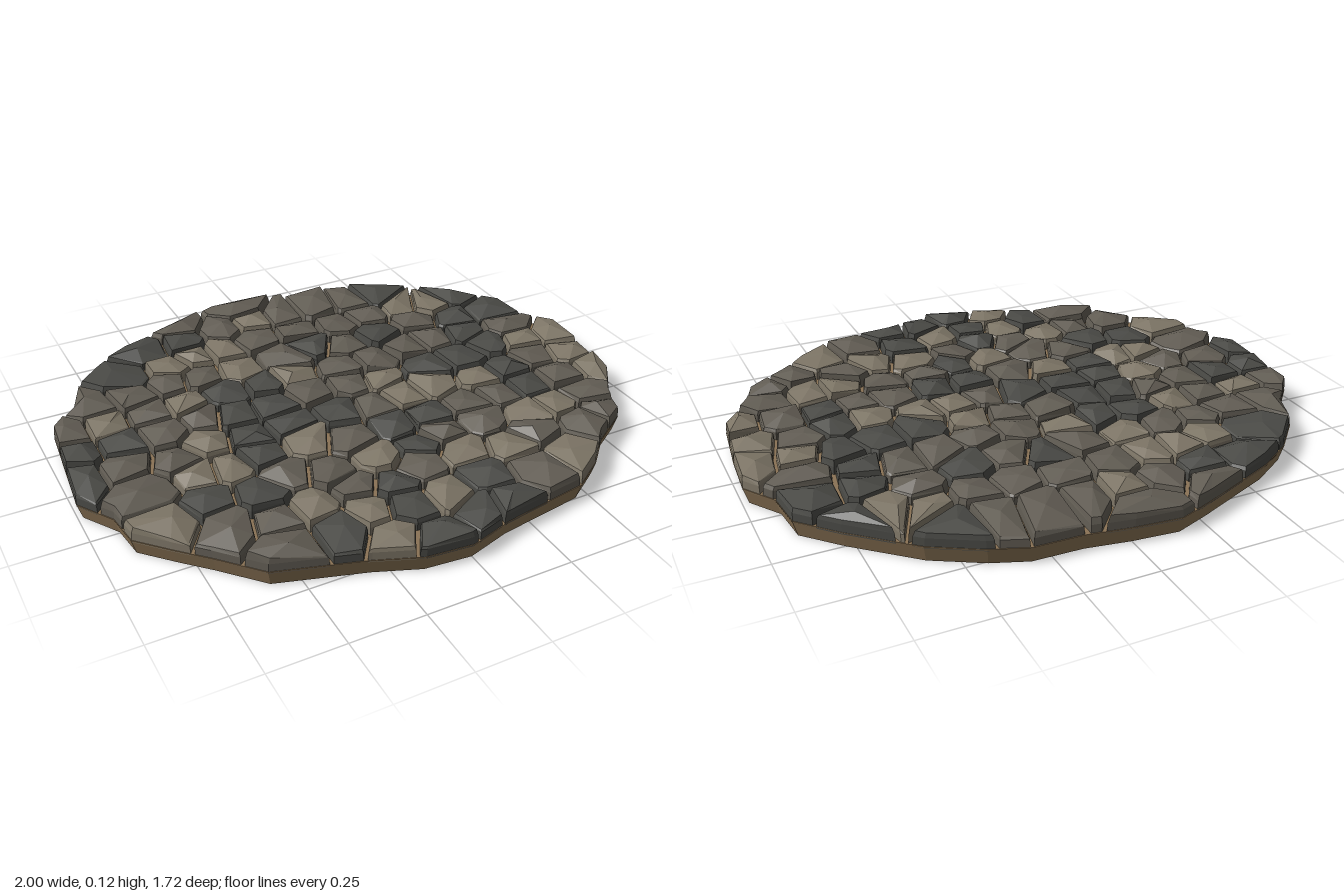
import * as THREE from 'three';

// Irregular rim of the patch as x, z pairs
const RIM = [
  -0.16, -0.86, 0, -0.845, 0.15, -0.82, 0.32, -0.815, 0.44, -0.77, 0.6, -0.68, 0.79, -0.51,
  0.905, -0.39, 0.92, -0.25, 0.995, -0.14, 0.985, 0.03, 0.96, 0.25, 0.86, 0.39, 0.82, 0.49,
  0.68, 0.58, 0.58, 0.68, 0.46, 0.76, 0.3, 0.785, 0.15, 0.81, 0, 0.855, -0.16, 0.84,
  -0.31, 0.78, -0.6, 0.69, -0.72, 0.56, -0.81, 0.47, -0.905, 0.37, -0.92, 0.25, -1, 0.125,
  -0.96, -0.27, -0.86, -0.38, -0.81, -0.505, -0.7, -0.62, -0.57, -0.7, -0.285, -0.815,
];
const rim = [];
for (let i = 0; i < RIM.length; i += 2) rim.push([RIM[i], RIM[i + 1]]);

let seed = 7;
const rand = () => (seed = (seed * 16807) % 2147483647) / 2147483647;
const jitter = (amount) => (rand() - 0.5) * 2 * amount;

const inside = ([x, z]) => {
  let hit = false;
  rim.forEach(([ax, az], i) => {
    const [bx, bz] = rim[(i + 1) % rim.length];
    if (az > z !== bz > z && x < ax + ((z - az) / (bz - az)) * (bx - ax)) hit = !hit;
  });
  return hit;
};

// Keep the part of a polygon lying nearer to site a than to site b
function clip(poly, a, b, gap) {
  const nx = b[0] - a[0], nz = b[1] - a[1], len = Math.hypot(nx, nz);
  const dist = (p) => ((p[0] - (a[0] + b[0]) / 2) * nx + (p[1] - (a[1] + b[1]) / 2) * nz) / len + gap;
  const out = [];
  poly.forEach((p, i) => {
    const q = poly[(i + 1) % poly.length], dp = dist(p), dq = dist(q);
    if (dp <= 0) out.push(p);
    if (dp < 0 !== dq < 0) {
      const t = dp / (dp - dq);
      out.push([p[0] + (q[0] - p[0]) * t, p[1] + (q[1] - p[1]) * t]);
    }
  });
  return out;
}

function centroid(poly) {
  let area = 0, x = 0, z = 0;
  poly.forEach((p, i) => {
    const q = poly[(i + 1) % poly.length], c = p[0] * q[1] - q[0] * p[1];
    area += c / 2;
    x += (p[0] + q[0]) * c;
    z += (p[1] + q[1]) * c;
  });
  return { area, c: [x / (6 * area), z / (6 * area)] };
}

// Faceted solid from stacked rings, closed by fans to a low and a high point
function loft(rings, low, high) {
  const pos = [], tri = (...pts) => pts.forEach((p) => pos.push(...p));
  const n = rings[0].length, top = rings[rings.length - 1];
  for (let i = 0; i < n; i++) {
    const j = (i + 1) % n;
    tri(low, rings[0][i], rings[0][j]);
    for (let k = 0; k + 1 < rings.length; k++) {
      const l = rings[k], u = rings[k + 1];
      tri(l[i], u[i], u[j]);
      tri(l[i], u[j], l[j]);
    }
    tri(high, top[j], top[i]);
  }
  const g = new THREE.BufferGeometry();
  g.setAttribute('position', new THREE.Float32BufferAttribute(pos, 3));
  g.computeVertexNormals();
  return g;
}

// Polygon scaled about a point and lifted to a height
const ring = (poly, c, s, height) =>
  poly.map(([x, z]) => [c[0] + (x - c[0]) * s, height(), c[1] + (z - c[1]) * s]);

const stoneMaterial = (color) => new THREE.MeshStandardMaterial({ color, flatShading: true });

export function createModel() {
  const model = new THREE.Group();
  model.name = 'cobblestonePatch';

  // Earth bed, flaring slightly from the ground up
  const o = [0, 0];
  const bed = new THREE.Mesh(
    loft([ring(rim, o, 0.983, () => 0), ring(rim, o, 1, () => 0.057)], [0, 0, 0], [0, 0.057, 0]),
    new THREE.MeshStandardMaterial({ color: 0x8a7355, flatShading: true }),
  );
  bed.name = 'earthBed';
  model.add(bed);

  // Stone centres on a loose grid
  const step = 0.1425, sites = [];
  for (let r = -6; r <= 6; r++) {
    for (let k = -7; k <= 7; k++) {
      const p = [-0.077 + k * step + jitter(0.036), -0.078 + r * step + jitter(0.036)];
      if (inside([p[0] * 1.03, p[1] * 1.03])) sites.push(p);
    }
  }

  // One chipped, domed stone per cell
  const tones = [0x4a4a46, 0x625d54, 0x7d7566].map(stoneMaterial);
  const stones = new THREE.Group();
  stones.name = 'stones';
  for (const a of sites) {
    let cell = rim;
    for (const b of sites) {
      if (b !== a && Math.hypot(a[0] - b[0], a[1] - b[1]) < 0.6) cell = clip(cell, a, b, 0.004);
    }
    cell = cell.filter((p, i) => {
      const q = cell[(i + 1) % cell.length];
      return Math.hypot(p[0] - q[0], p[1] - q[1]) > 0.01;
    });
    if (cell.length < 3) continue;
    const { area, c } = centroid(cell);
    if (area < 0.001) continue;
    const lift = jitter(0.004), tiltX = jitter(0.08), tiltZ = jitter(0.08);
    const shoulder = ring(cell, c, 0.9, () => 0.098 + lift + jitter(0.004));
    shoulder.forEach((p) => { p[1] += (p[0] - c[0]) * tiltX + (p[2] - c[1]) * tiltZ; });
    const stone = new THREE.Mesh(
      loft(
        [ring(cell, c, 0.98, () => 0.05), ring(cell, c, 0.96, () => 0.084), shoulder],
        [c[0], 0.05, c[1]],
        [c[0] + jitter(0.02), 0.116 + lift + jitter(0.006), c[1] + jitter(0.02)],
      ),
      tones[Math.floor(rand() * 3)],
    );
    stone.name = 'stone';
    stones.add(stone);
  }
  model.add(stones);
  return model;
}
